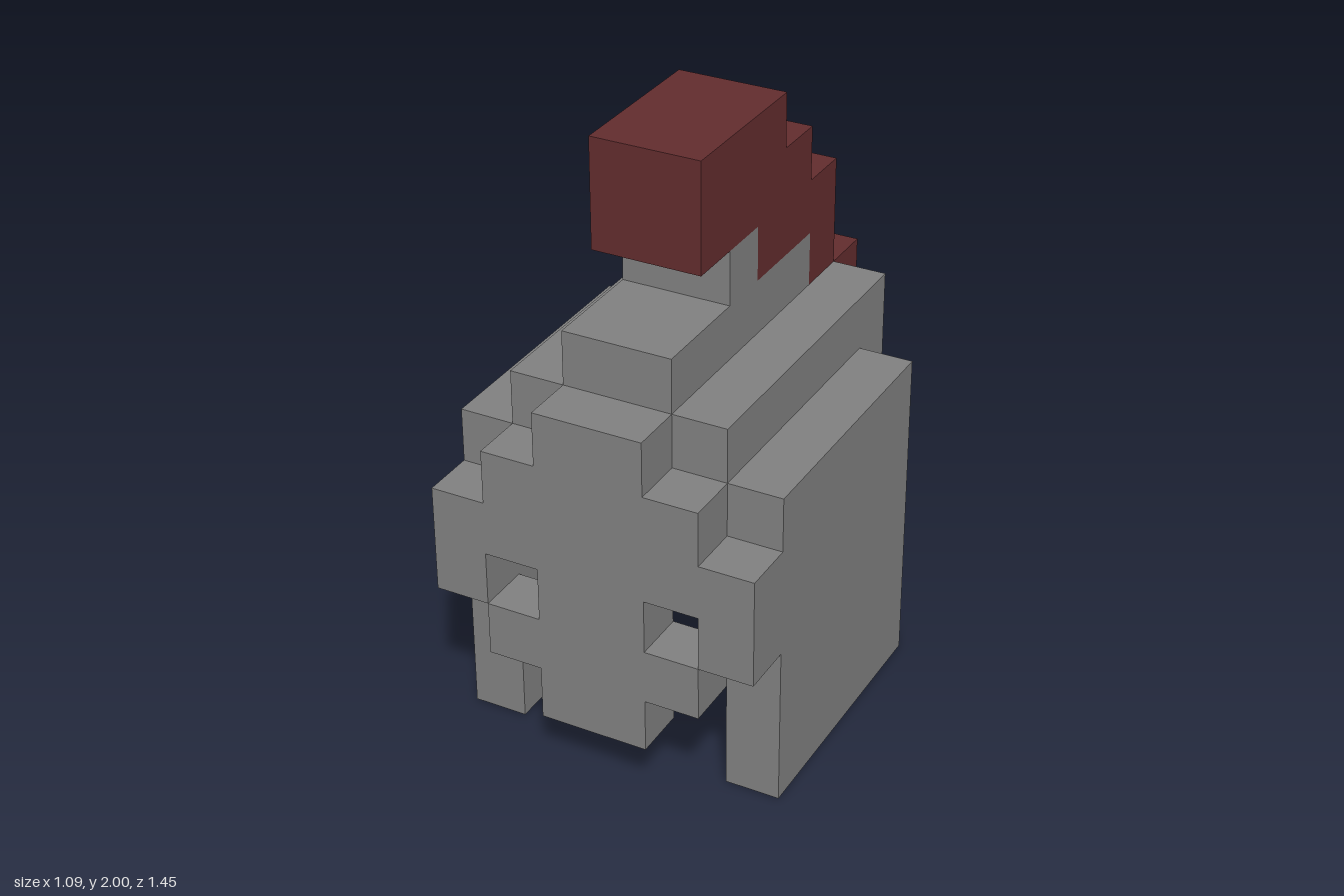
import * as THREE from 'three';

const U = 2 / 11; // one block

export function createModel() {
  const steel = new THREE.MeshStandardMaterial({ color: 0x808080 });
  steel.name = 'steel grey';
  const crimson = new THREE.MeshStandardMaterial({ color: 0x622c2e });
  crimson.name = 'dark red';

  const model = new THREE.Group();
  model.name = 'helmet';

  const add = (name, geometry, material) => {
    const mesh = new THREE.Mesh(geometry, material);
    mesh.name = name;
    model.add(mesh);
    return mesh;
  };

  // Box spanning two block-grid corners
  const block = (name, [x0, y0, z0], [x1, y1, z1], material = steel) => {
    const g = new THREE.BoxGeometry((x1 - x0) * U, (y1 - y0) * U, (z1 - z0) * U);
    g.translate((x0 + x1) / 2 * U, (y0 + y1) / 2 * U, (z0 + z1) / 2 * U);
    return add(name, g, material);
  };

  const points = (list) => list.map(([x, y]) => new THREE.Vector2(x * U, y * U));
  const extrude = (shape, depth) =>
    new THREE.ExtrudeGeometry(shape, { depth: depth * U, bevelEnabled: false });

  // Hollow shell: cheeks, stepped shoulders, crown and back wall
  for (const [side, s] of [['left', 1], ['right', -1]]) {
    const span = (a, b) => (s > 0 ? [a, b] : [-b, -a]);
    const [c0, c1] = span(2, 3);
    block(side + 'Cheek', [c0, 0, -2], [c1, 6, 3]);
    const [r0, r1] = span(1, 2);
    block(side + 'RoofStep', [r0, 6, -2], [r1, 7, 3]);
  }
  block('crown', [-1, 7, -2], [1, 8, 3]);
  block('backWall', [-2, 0, -3], [2, 7, -2]);
  block('plumeHolder', [-1, 8, 0], [1, 9, 1]);

  // Face plate with two square eye openings
  const half = [[1, 1], [1, 2], [2, 2], [2, 3], [3, 3], [3, 5], [2, 5], [2, 6], [1, 6], [1, 7]];
  const mirrored = half.map(([x, y]) => [-x, y]).reverse();
  const face = new THREE.Shape(points([...half, ...mirrored]));
  for (const x of [-2, 1]) {
    face.holes.push(new THREE.Path(points([[x, 3], [x, 4], [x + 1, 4], [x + 1, 3]])));
  }
  const plate = extrude(face, 1);
  plate.translate(0, 0, 3 * U);
  add('facePlate', plate, steel);

  // Stepped plume: side profile in (z, y), extruded across the width
  const profile = [[2, 9], [2, 11], [-1, 11], [-1, 10], [-2, 10], [-2, 9],
    [-3, 9], [-3, 7], [-2, 7], [-2, 8], [0, 8], [0, 9]];
  const plume = extrude(new THREE.Shape(points(profile)), 2);
  plume.translate(0, 0, -U);
  plume.rotateY(-Math.PI / 2);
  add('plume', plume, crimson);
  block('plumeTail', [-1, 0, -4], [1, 7, -3], crimson);

  return model;
}
